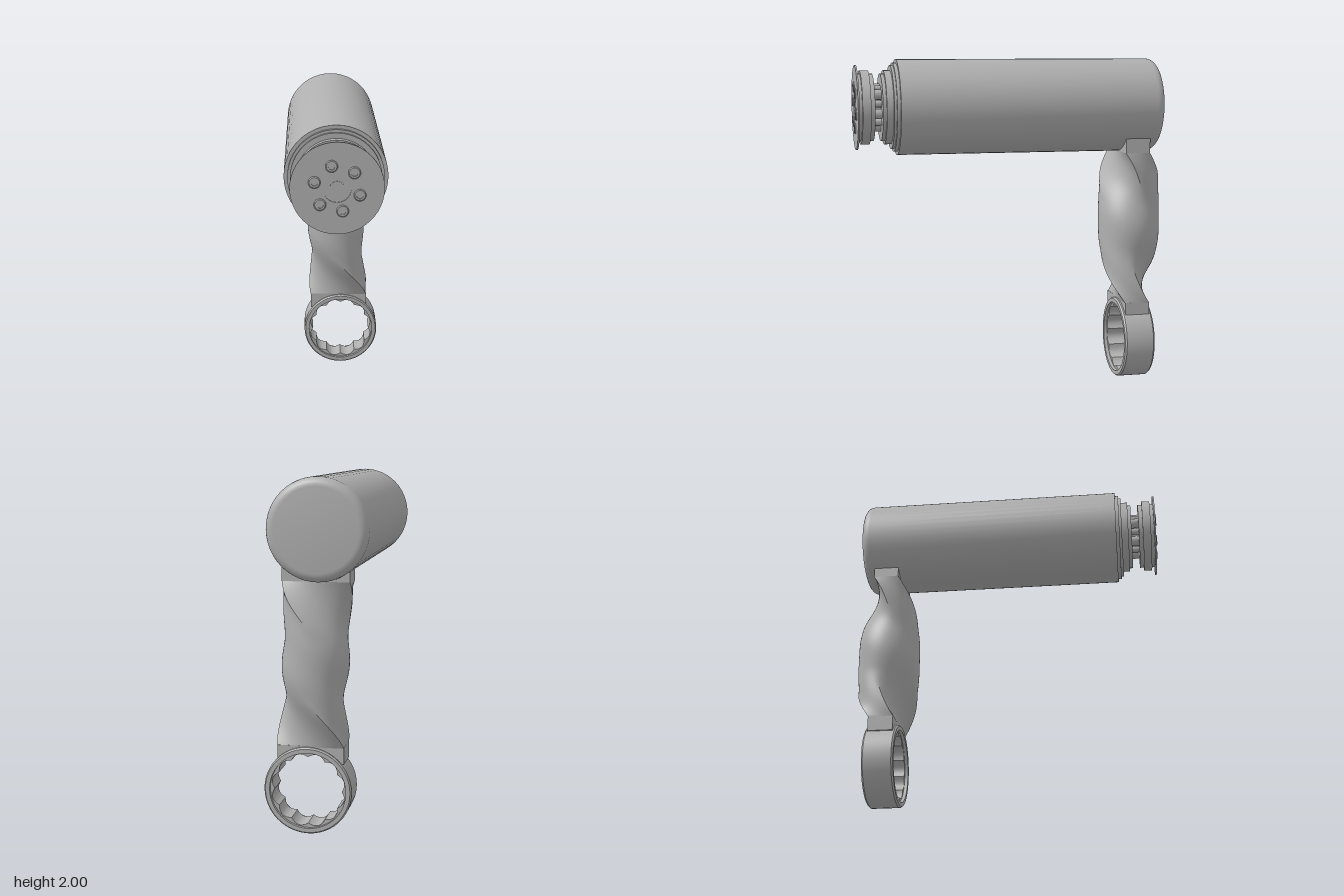
import * as THREE from 'three';
import { toCreasedNormals } from 'three/addons/utils/BufferGeometryUtils.js';

const metal = new THREE.MeshStandardMaterial({ color: 0xb0b0b0 });
metal.name = 'grey metal';
const TILT = 0.078;

function add(parent, name, geometry, x = 0, y = 0, z = 0) {
  const mesh = new THREE.Mesh(geometry, metal);
  mesh.name = name;
  mesh.position.set(x, y, z);
  parent.add(mesh);
  return mesh;
}

// Revolved part along z, from [radius, z] pairs
function turned(points, segments = 48) {
  const g = new THREE.LatheGeometry(points.map(([r, z]) => new THREE.Vector2(r, z)), segments);
  return toCreasedNormals(g.rotateX(Math.PI / 2), 0.5);
}

// Solid disc or cylinder between two z positions
const disc = (r, z0, z1, segments) => turned([[0, z0], [r, z0], [r, z1], [0, z1]], segments);

// Bar that starts as a rectangle, swells to a round middle and turns half a revolution
function twistedBar(y0, y1, halfWidth, halfDepth, lean) {
  const rows = 48, cols = 48, pos = [], index = [];
  const corners = [[1, 1], [-1, 1], [-1, -1], [1, -1]];
  for (let j = 0; j <= rows; j++) {
    const s = j / rows;
    const depth = halfDepth + (halfWidth - halfDepth) * Math.sin(Math.PI * s) ** 2;
    const round = THREE.MathUtils.smoothstep(Math.min(s, 1 - s), 0, 0.36);
    const c = Math.cos(Math.PI * s), n = Math.sin(Math.PI * s);
    for (let i = 0; i < cols; i++) {
      const u = (i / cols) * 4, k = Math.floor(u), f = u - k;
      const p = corners[k], q = corners[(k + 1) % 4];
      const a = (u + 0.5) * Math.PI / 2;
      const x = halfWidth * THREE.MathUtils.lerp(p[0] + (q[0] - p[0]) * f, Math.cos(a), round);
      const z = depth * THREE.MathUtils.lerp(p[1] + (q[1] - p[1]) * f, Math.sin(a), round);
      pos.push(x * c - z * n + lean * (0.5 - s), y0 + (y1 - y0) * s, x * n + z * c);
    }
  }
  for (let j = 0; j < rows; j++) {
    for (let i = 0; i < cols; i++) {
      const a = j * cols + i, b = j * cols + (i + 1) % cols;
      index.push(a, a + cols, b, b, a + cols, b + cols);
    }
  }
  const g = new THREE.BufferGeometry();
  g.setAttribute('position', new THREE.Float32BufferAttribute(pos, 3));
  g.setIndex(index);
  return toCreasedNormals(g, 0.6);
}

function createHousing() {
  const group = new THREE.Group();
  group.name = 'housing';
  group.position.set(0.006, 1.715, 0);
  group.rotation.y = TILT;

  // Main barrel with a rounded back edge
  const profile = [[0, -0.915]];
  for (let i = 0; i <= 6; i++) {
    const a = (i / 6) * Math.PI / 2;
    profile.push([0.235 + 0.05 * Math.sin(a), -0.865 - 0.05 * Math.cos(a)]);
  }
  profile.push([0.285, 0.69], [0.265, 0.69], [0.265, 0.71], [0.25, 0.71], [0.25, 0.725], [0, 0.725]);
  add(group, 'barrel', turned(profile));

  // Two stepped bearing rings
  add(group, 'innerRing', turned([[0.22, 0.72], [0.22, 0.765], [0.2, 0.765], [0.2, 0.785], [0, 0.785]]));
  add(group, 'outerRing', turned([[0, 0.83], [0.2, 0.83], [0.2, 0.855], [0.22, 0.855], [0.22, 0.905], [0.2, 0.905], [0.2, 0.926], [0, 0.926]]));
  add(group, 'hub', disc(0.07, 0.78, 0.835, 24));

  // Pins between the rings
  for (let i = 0; i < 12; i++) {
    const a = 0.76 + (i * Math.PI) / 6;
    const r = i % 2 ? 0.02 : 0.03;
    add(group, 'pin', disc(r, 0.78, 0.835, 16), 0.115 * Math.cos(a), 0.115 * Math.sin(a));
  }

  // Front plate with a shallow round recess and six screws
  add(group, 'frontPlate', turned([[0, 0.924], [0.25, 0.924], [0.25, 0.934], [0.075, 0.934], [0.075, 0.929], [0, 0.929]]));
  add(group, 'centreCap', disc(0.04, 0.928, 0.932, 24));
  const screw = turned([[0.033, 0.932], [0.033, 0.938], [0.028, 0.942], [0.018, 0.942], [0.018, 0.936], [0, 0.936]], 18);
  for (let i = 0; i < 6; i++) {
    const a = 0.76 + (i * Math.PI) / 3;
    add(group, 'screw', screw, 0.125 * Math.cos(a), 0.125 * Math.sin(a));
  }
  return group;
}

function createArm() {
  const group = new THREE.Group();
  group.name = 'arm';
  group.position.set(-0.02, 0, -0.765);
  group.rotation.y = TILT;

  add(group, 'twistedBar', twistedBar(0.5, 1.43, 0.19, 0.076, 0.035));
  add(group, 'topBlock', new THREE.BoxGeometry(0.38, 0.18, 0.152), -0.0175, 1.52, 0);

  // Lower block, hollowed to sit on the ring
  const cx = 0.032, cy = 0.25;
  const saddle = new THREE.Shape();
  saddle.moveTo(0.2075, 0.505);
  saddle.lineTo(-0.1725, 0.505);
  saddle.lineTo(-0.1725, 0.41);
  const start = Math.PI - 0.76, end = 0.76;
  for (let i = 0; i <= 16; i++) {
    const a = start + ((end - start) * i) / 16;
    saddle.lineTo(cx + 0.236 * Math.cos(a), cy + 0.236 * Math.sin(a));
  }
  saddle.lineTo(0.2075, 0.41);
  add(group, 'saddleBlock', new THREE.ExtrudeGeometry(saddle, { depth: 0.152, bevelEnabled: false }), 0, 0, -0.076);

  // Ring shell with chamfered rims
  add(group, 'ring', turned([[0.218, -0.095], [0.242, -0.095], [0.25, -0.085], [0.25, 0.085],
    [0.242, 0.095], [0.218, 0.095], [0.218, -0.095]]), cx, cy, 0);

  // Twelve scallops lining the ring
  const lining = new THREE.Shape();
  lining.absarc(0, 0, 0.23, 0, Math.PI * 2);
  const hole = [];
  for (let i = 0; i < 144; i++) {
    const a = (i / 144) * Math.PI * 2;
    const r = 0.192 + 0.02 * Math.abs(Math.sin(6 * a));
    hole.push(new THREE.Vector2(r * Math.cos(a), r * Math.sin(a)));
  }
  lining.holes.push(new THREE.Path(hole));
  const g = new THREE.ExtrudeGeometry(lining, { depth: 0.15, bevelEnabled: false, curveSegments: 32 });
  add(group, 'scallopedLining', toCreasedNormals(g, 0.5), cx, cy, -0.075);
  return group;
}

export function createModel() {
  const model = new THREE.Group();
  model.name = 'crankArm';
  model.add(createHousing(), createArm());
  return model;
}
